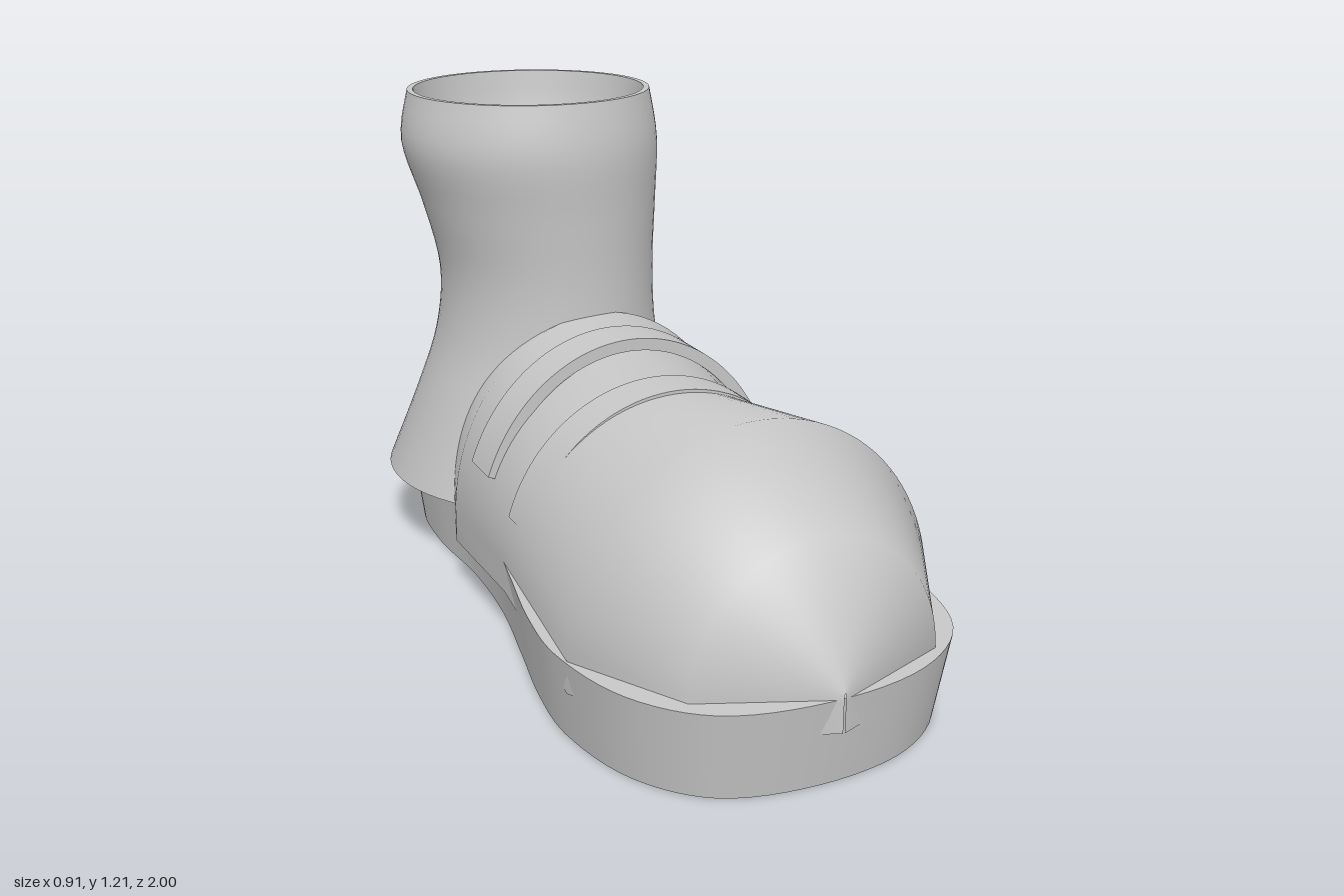
import * as THREE from 'three';
import { toCreasedNormals } from 'three/addons/utils/BufferGeometryUtils.js';

// Skin consecutive rings of points; repeated points keep an edge sharp
function loft(rings, closed) {
  const n = rings[0].length, position = [], index = [];
  rings.forEach(ring => ring.forEach(p => position.push(...p)));
  for (let i = 0; i < rings.length - 1; i++) {
    for (let j = 0; j < (closed ? n : n - 1); j++) {
      const a = i * n + j, b = i * n + (j + 1) % n, c = a + n, d = b + n;
      index.push(a, c, b, b, c, d);
    }
  }
  const g = new THREE.BufferGeometry();
  g.setAttribute('position', new THREE.Float32BufferAttribute(position, 3));
  g.setIndex(index);
  g.computeVertexNormals();
  return g;
}

// Smooth a row of sections with a spline over every column
function smoothRows(rows, steps) {
  const out = [];
  for (let i = 0; i < rows.length - 1; i++) {
    for (let s = 0; s < steps; s++) {
      const at = k => rows[Math.min(Math.max(k, 0), rows.length - 1)];
      const t = s / steps;
      out.push(rows[0].map((_, k) => {
        const p0 = at(i - 1)[k], p1 = at(i)[k], p2 = at(i + 1)[k], p3 = at(i + 2)[k];
        const m1 = (p2 - p0) / 2, m2 = (p3 - p1) / 2;
        return p1 + m1 * t + (3 * (p2 - p1) - 2 * m1 - m2) * t * t
          + (2 * (p1 - p2) + m1 + m2) * t * t * t;
      }));
    }
  }
  out.push(rows[rows.length - 1]);
  return out;
}

function soleGeometry() {
  const outline = new THREE.CatmullRomCurve3([
    [0.45, 0.2], [0.445, 0.58], [0.38, 0.82], [0.22, 0.95], [-0.03, 0.995], [-0.26, 0.95],
    [-0.39, 0.81], [-0.45, 0.58], [-0.44, 0.4], [-0.4, 0.18], [-0.36, -0.05], [-0.345, -0.3],
    [-0.36, -0.55], [-0.33, -0.78], [-0.22, -0.93], [-0.04, -0.98], [0.14, -0.95],
    [0.29, -0.82], [0.38, -0.58], [0.435, -0.2],
  ].map(([x, z]) => new THREE.Vector3(x, 0, z)), true).getPoints(120).slice(0, 120);
  const ring = (y, sx, sz) => outline.map(p => [p.x * sx, y, p.z * sz]);
  const bottom = ring(0, 0.935, 0.968), top = ring(0.205, 1, 1);
  return loft([ring(0, 0, 0), bottom, bottom, top, top, ring(0.205, 0, 0)], true);
}

function upperGeometry() {
  // z, half width, top height
  const sections = [
    [1.0, 0.002, 0.22], [0.885, 0.29, 0.51], [0.62, 0.44, 0.67],
    [0.1, 0.385, 0.585], [-0.23, 0.39, 0.68], [-0.55, 0.29, 0.6],
  ];
  return loft(sections.map(([z, w, h]) => {
    const ring = [[w, 0.13, z]];
    for (let i = 0; i <= 48; i++) {
      const t = Math.PI * i / 48;
      ring.push([w * Math.cos(t), 0.2 + (h - 0.2) * Math.sin(t), z]);
    }
    ring.push([-w, 0.13, z], [-w, 0.13, z], [w, 0.13, z]);
    return ring;
  }), false);
}

function shaftGeometry() {
  const ring = ([y, cx, cz, rx, rz]) => Array.from({ length: 64 }, (_, j) => {
    const t = j / 64 * Math.PI * 2;
    return [cx + rx * Math.cos(t), y, cz + rz * Math.sin(t)];
  });
  // height, centre x, centre z, radius x, radius z
  const outer = smoothRows([
    [0.19, -0.035, -0.575, 0.4, 0.425], [0.4, -0.028, -0.545, 0.335, 0.355],
    [0.58, -0.022, -0.525, 0.288, 0.31], [0.75, -0.023, -0.515, 0.277, 0.295],
    [0.92, -0.038, -0.52, 0.301, 0.307], [1.08, -0.057, -0.53, 0.329, 0.325],
    [1.21, -0.057, -0.532, 0.31, 0.304],
  ], 5).map(ring);
  const inner = smoothRows([
    [1.21, -0.057, -0.532, 0.295, 0.289], [1.1, -0.057, -0.532, 0.275, 0.272],
    [1.0, -0.057, -0.535, 0.225, 0.23], [0.92, -0.057, -0.54, 0.14, 0.16],
    [0.88, -0.057, -0.54, 0.055, 0.075],
  ], 4).map(ring);
  const base = outer[0], rim = outer[outer.length - 1], floor = inner[inner.length - 1];
  return loft([
    ring([0.19, -0.035, -0.575, 0, 0]), base, ...outer, rim, inner[0], ...inner,
    floor, ring([0.88, -0.057, -0.54, 0, 0]),
  ], true);
}

// Arched band across the instep
function strapGeometry(halfWidth, height, startAngle, depth) {
  const shape = new THREE.Shape(), t = 0.03;
  shape.absellipse(0, 0, halfWidth, height, startAngle, Math.PI - startAngle, false);
  shape.absellipse(0, 0, halfWidth - t, height - t, Math.PI - startAngle, startAngle, true);
  const g = new THREE.ExtrudeGeometry(shape, { depth, bevelEnabled: false, curveSegments: 40 });
  return toCreasedNormals(g, 0.5);
}

export function createModel() {
  const model = new THREE.Group();
  model.name = 'boot';
  const grey = new THREE.MeshStandardMaterial({ color: 0xc8c8c8 });
  grey.name = 'light grey';
  const add = (name, geometry, y = 0, z = 0) => {
    const mesh = new THREE.Mesh(geometry, grey);
    mesh.name = name;
    mesh.position.set(0, y, z);
    model.add(mesh);
  };

  add('sole', soleGeometry());
  add('upper', upperGeometry());
  add('ankleShaft', shaftGeometry());
  add('frontStrap', strapGeometry(0.39, 0.413, 0.297, 0.115), 0.2, 0.108);
  add('rearStrap', strapGeometry(0.4, 0.467, 0.374, 0.118), 0.2, -0.145);
  return model;
}
